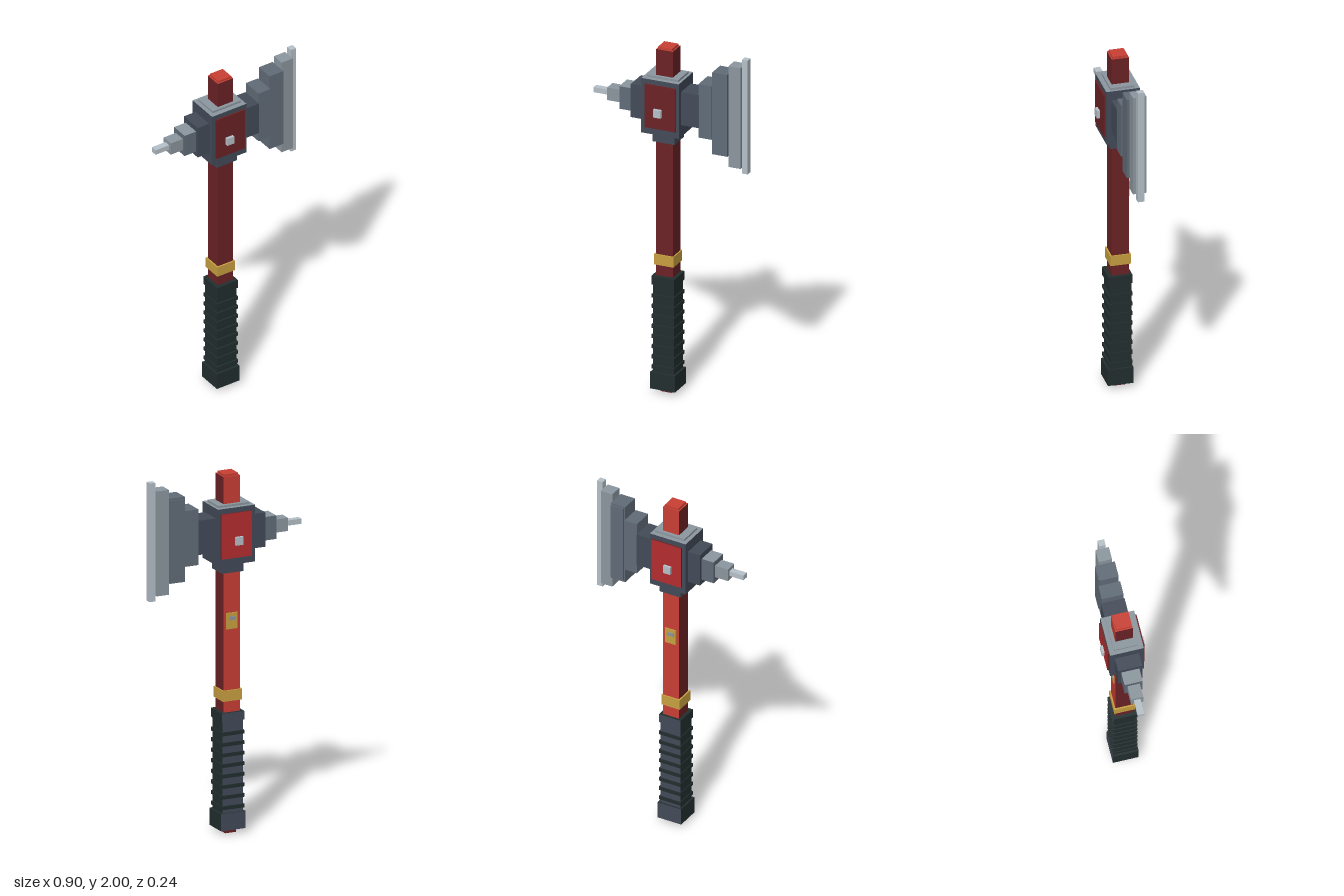
import * as THREE from 'three';

const mat = (name, hex) => {
  const m = new THREE.MeshStandardMaterial({ color: hex });
  m.name = name;
  return m;
};

export function createModel() {
  const darkRed = mat('dark red', 0x6b2225);
  const brightRed = mat('bright red', 0xc93f34);
  const crimson = mat('crimson', 0xb52d30);
  const gold = mat('gold', 0xc8a040);
  const grip = mat('grip black green', 0x222e2e);
  const slate = mat('dark slate', 0x434b58);
  const steel = mat('steel', 0x616c78);
  const lightSteel = mat('light steel', 0x8c979f);
  const paleSteel = mat('pale steel', 0xb6c1c9);

  const model = new THREE.Group();
  model.name = 'axe';

  // Box from its limits; faces may override single sides (px, nx, py, ny, pz, nz)
  const box = (name, [x0, x1], [y0, y1], [z0, z1], base, faces = {}) => {
    const sides = ['px', 'nx', 'py', 'ny', 'pz', 'nz'].map((k) => faces[k] || base);
    const plain = sides.every((m) => m === base);
    const mesh = new THREE.Mesh(new THREE.BoxGeometry(x1 - x0, y1 - y0, z1 - z0), plain ? base : sides);
    mesh.position.set((x0 + x1) / 2, (y0 + y1) / 2, (z0 + z1) / 2);
    mesh.name = name;
    model.add(mesh);
  };

  // Shaft
  const redBack = { nz: brightRed, py: brightRed };
  box('shaft', [-0.073, 0.025], [0.025, 1.988], [-0.05, 0.046], darkRed, redBack);
  box('shaftTip', [-0.065, 0.018], [1.988, 2.0], [-0.043, 0.039], brightRed);
  box('shaftEnd', [-0.056, 0.008], [0, 0.025], [-0.034, 0.03], darkRed);
  box('goldBand', [-0.082, 0.032], [0.74, 0.8], [-0.058, 0.055], gold);
  box('backTag', [-0.056, 0.01], [1.14, 1.23], [-0.056, -0.05], gold);
  box('tagStud', [-0.042, -0.006], [1.19, 1.21], [-0.061, -0.056], lightSteel);

  // Grip with its ribs
  const slateBack = { nz: slate };
  box('gripBody', [-0.086, 0.037], [0.12, 0.63], [-0.059, 0.059], grip, slateBack);
  box('gripCollar', [-0.091, 0.043], [0.628, 0.677], [-0.065, 0.068], grip, slateBack);
  box('pommel', [-0.097, 0.049], [0.025, 0.12], [-0.069, 0.073], grip, slateBack);
  for (let i = 0; i < 8; i++) {
    const y = 0.15 + i * 0.0587;
    box('gripRib', [-0.091, 0.043], [y - 0.01, y + 0.01], [-0.065, 0.068], grip);
  }

  // Head housing
  box('housing', [-0.14, 0.08], [1.51, 1.826], [-0.095, 0.091], slate, { py: lightSteel });
  box('housingCap', [-0.118, 0.065], [1.826, 1.838], [-0.07, 0.064], lightSteel);
  box('housingCollar', [-0.088, 0.04], [1.455, 1.51], [-0.062, 0.059], slate);

  // Red cheek plates and bolts
  box('frontPlate', [-0.117, 0.065], [1.548, 1.798], [0.091, 0.1005], darkRed);
  box('backPlate', [-0.117, 0.065], [1.548, 1.798], [-0.1045, -0.095], darkRed, { nz: crimson });
  box('frontBolt', [-0.059, -0.015], [1.62, 1.665], [0.1005, 0.117], paleSteel);
  box('backBolt', [-0.059, -0.015], [1.62, 1.665], [-0.12, -0.1045], paleSteel);

  // Stepped blade, widening and thinning outward
  const blade = [
    ['bladeNeck', [0.08, 0.18], [1.58, 1.771], [-0.067, 0.063], slate],
    ['bladeInner', [0.18, 0.257], [1.523, 1.833], [-0.062, 0.058], steel],
    ['bladeMiddle', [0.257, 0.345], [1.437, 1.911], [-0.053, 0.05], steel],
    ['bladeOuter', [0.345, 0.416], [1.373, 1.957], [-0.039, 0.035], lightSteel],
    ['bladeEdge', [0.416, 0.45], [1.34, 2.0], [-0.019, 0.017], paleSteel],
    ['bladeBackPlate', [0.266, 0.345], [1.45, 1.9], [-0.059, -0.053], steel],
  ];
  blade.forEach((b) => box(...b));

  // Stepped spike opposite the blade
  const spike = [
    ['spikeNeck', [-0.214, -0.14], [1.575, 1.766], [-0.069, 0.064], slate],
    ['spikeInner', [-0.288, -0.214], [1.604, 1.735], [-0.052, 0.048], steel, { py: lightSteel }],
    ['spikeOuter', [-0.366, -0.288], [1.634, 1.707], [-0.036, 0.032], lightSteel],
    ['spikeTip', [-0.453, -0.366], [1.658, 1.687], [-0.02, 0.016], paleSteel],
  ];
  spike.forEach((s) => box(...s));

  return model;
}
